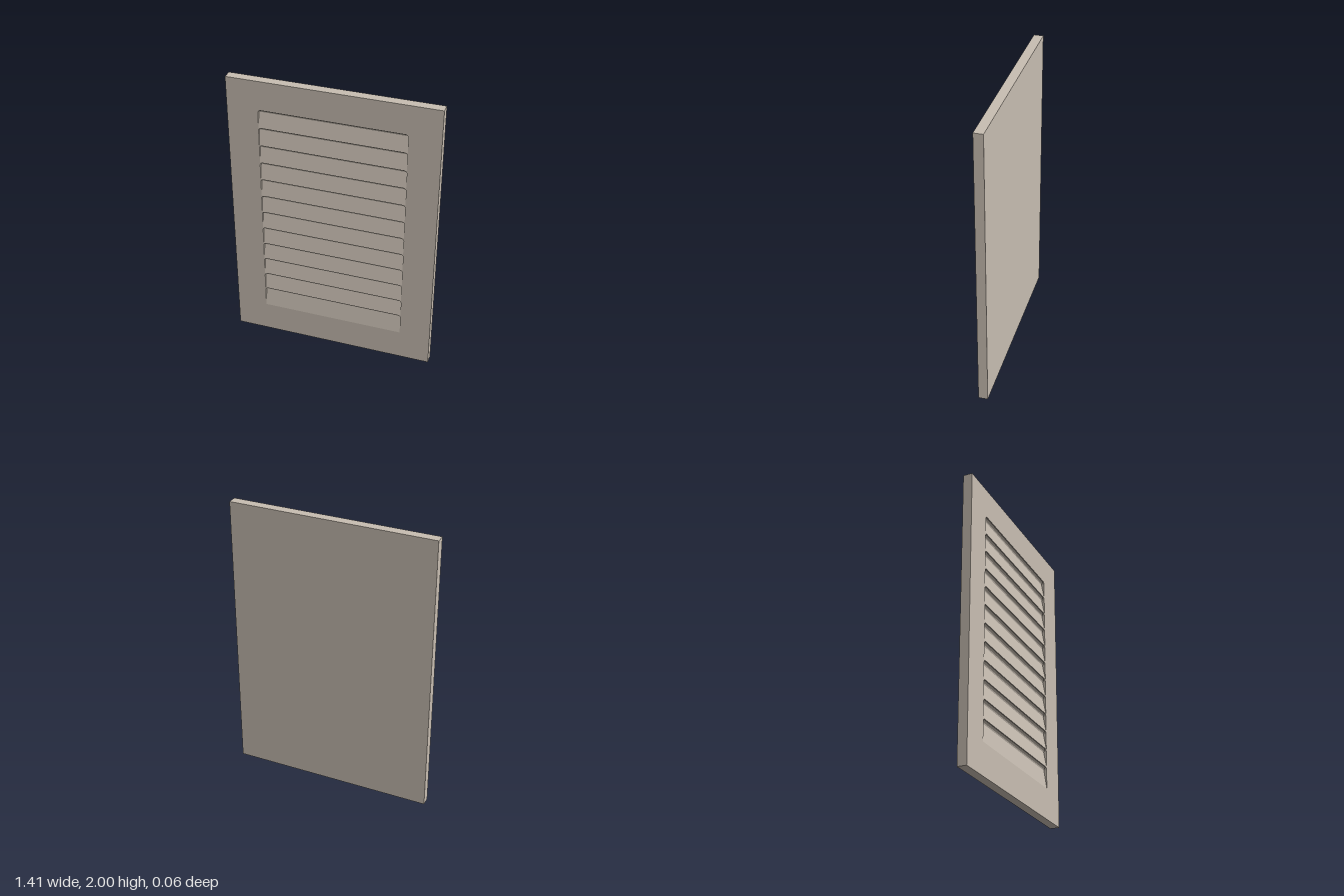
import * as THREE from 'three';

const W = 1.414, H = 2, FRONT = 0.032, MID = 0.004;
const COUNT = 12, PITCH = 0.13, TOP = 1.795, HALF = 0.495, R = 0.02;

// Slot outline: rounded upper corners, square foot
function slotPath(top, bottom) {
  const p = new THREE.Path();
  p.moveTo(-HALF, bottom);
  p.lineTo(-HALF, top - R);
  p.absarc(-HALF + R, top - R, R, Math.PI, Math.PI / 2, true);
  p.lineTo(HALF - R, top);
  p.absarc(HALF - R, top - R, R, Math.PI / 2, 0, true);
  p.lineTo(HALF, bottom);
  p.closePath();
  return p;
}

// Slat section, drawn as (-z, y) and extruded along x
function slatGeometry(top, bottom) {
  const s = new THREE.Shape([
    [-FRONT, bottom], [-MID, bottom], [-MID, top], [-0.026, top],
    [-0.02, top - 0.006], [-0.015, top - 0.012], [-0.012, top - 0.02],
  ].map(([x, y]) => new THREE.Vector2(x, y)));
  const g = new THREE.ExtrudeGeometry(s, { depth: 2 * HALF, bevelEnabled: false, curveSegments: 4 });
  g.translate(0, 0, -HALF);
  g.rotateY(Math.PI / 2);
  return g;
}

export function createModel() {
  const group = new THREE.Group();
  const material = new THREE.MeshStandardMaterial({ color: 0xc8beb2 });
  const add = (name, geometry) => {
    const mesh = new THREE.Mesh(geometry, material);
    mesh.name = name;
    group.add(mesh);
    return mesh;
  };

  // Solid back of the door
  const back = add('backPanel', new THREE.BoxGeometry(W, H, FRONT + MID));
  back.position.set(0, H / 2, (MID - FRONT) / 2);

  // Front frame with a column of slots
  const frame = new THREE.Shape([
    new THREE.Vector2(-W / 2, 0), new THREE.Vector2(W / 2, 0),
    new THREE.Vector2(W / 2, H), new THREE.Vector2(-W / 2, H),
  ]);

  // Sloping slats, deep at the top and flush at the foot
  for (let i = 0; i < COUNT; i++) {
    const top = TOP - i * PITCH;
    const bottom = i === COUNT - 1 ? 0.215 : top - PITCH + 0.002;
    frame.holes.push(slotPath(top, bottom));
    add(`slat${i + 1}`, slatGeometry(top, bottom));
  }

  const frameGeometry = new THREE.ExtrudeGeometry(frame, {
    depth: FRONT - MID, bevelEnabled: false, curveSegments: 6,
  });
  add('frontFrame', frameGeometry).position.z = MID;
  return group;
}
